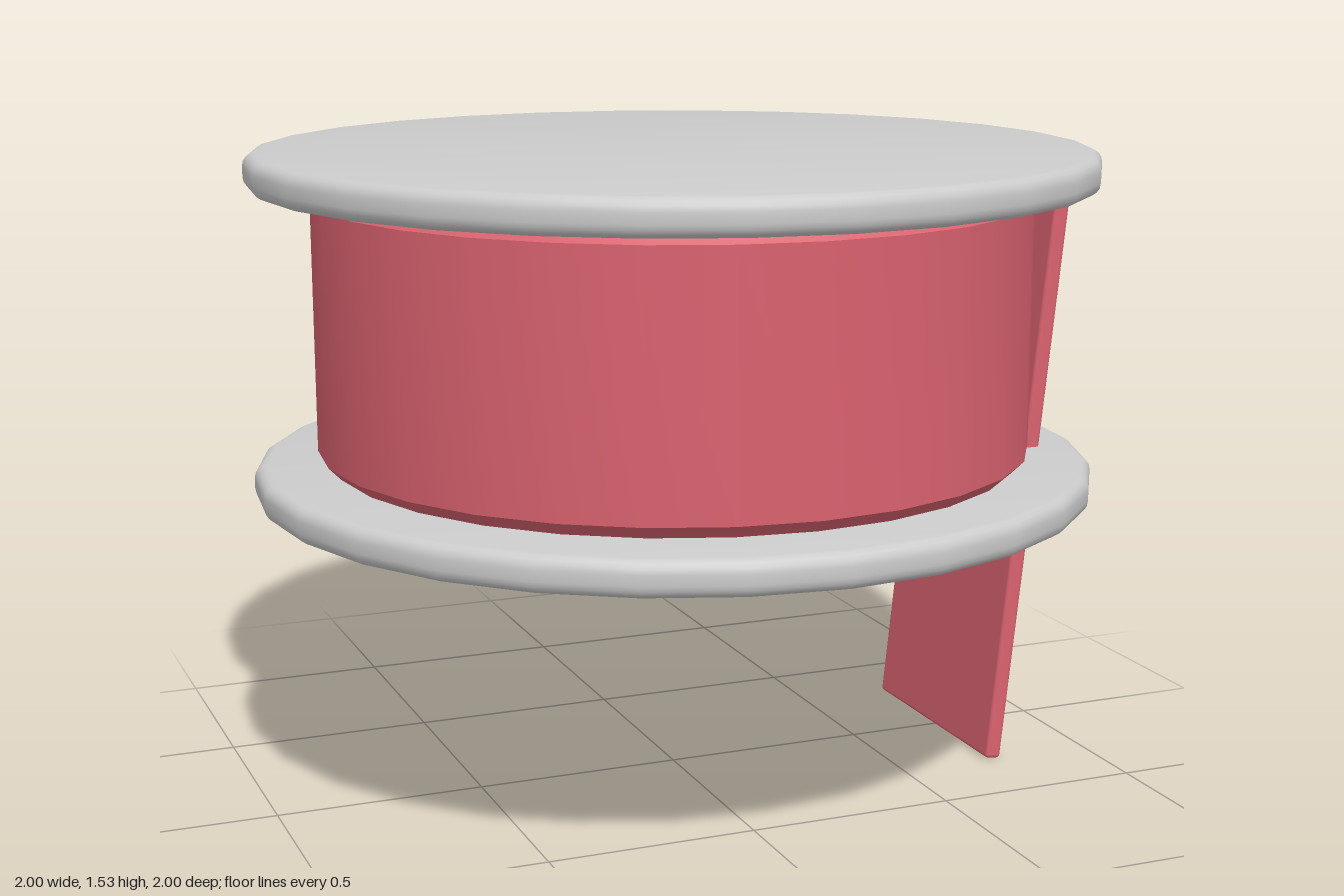
import * as THREE from 'three';
import { toCreasedNormals } from 'three/addons/utils/BufferGeometryUtils.js';
import { RoundedBoxGeometry } from 'three/addons/geometries/RoundedBoxGeometry.js';

const SIDES = 28;

// Turned solid from [radius, height] pairs, listed bottom to top
function turned(name, points, material) {
  const profile = points.map(([r, y]) => new THREE.Vector2(r, y));
  const geometry = toCreasedNormals(new THREE.LatheGeometry(profile, SIDES), 0.6);
  const mesh = new THREE.Mesh(geometry, material);
  mesh.name = name;
  return mesh;
}

// Flat disc with a rounded rim
function flange(name, y0, y1, material) {
  const R = 1, b = 0.03, points = [[0, y0]];
  for (const [y, start] of [[y0 + b, -Math.PI / 2], [y1 - b, 0]]) {
    for (let i = 0; i <= 4; i++) {
      const a = start + (i / 4) * Math.PI / 2;
      points.push([R - b + b * Math.cos(a), y + b * Math.sin(a)]);
    }
  }
  points.push([0, y1]);
  return turned(name, points, material);
}

export function createModel() {
  const group = new THREE.Group();
  group.name = 'ribbonSpool';
  const grey = new THREE.MeshStandardMaterial({ color: 0xcccccc });
  const red = new THREE.MeshStandardMaterial({ color: 0xd9626f });

  // Two end discs
  group.add(flange('lowerFlange', 0.71, 0.795, grey));
  group.add(flange('upperFlange', 1.445, 1.53, grey));

  // Wound ribbon with chamfered edges
  group.add(turned('woundRibbon', [
    [0, 0.78], [0.81, 0.78], [0.82, 0.795], [0.85, 0.825],
    [0.85, 1.415], [0.82, 1.445], [0.81, 1.46], [0, 1.46],
  ], red));

  // Loose ribbon end, leaning outward and passing through the lower disc
  const bottom = new THREE.Vector2(0.745, 0.003), top = new THREE.Vector2(0.897, 1.49);
  const tail = new THREE.Mesh(
    new RoundedBoxGeometry(0.04, bottom.distanceTo(top), 0.584, 2, 0.01), red);
  tail.name = 'ribbonTail';
  tail.position.set((bottom.x + top.x) / 2, (bottom.y + top.y) / 2, 0);
  tail.rotation.z = -Math.atan2(top.x - bottom.x, top.y - bottom.y);
  group.add(tail);

  return group;
}
